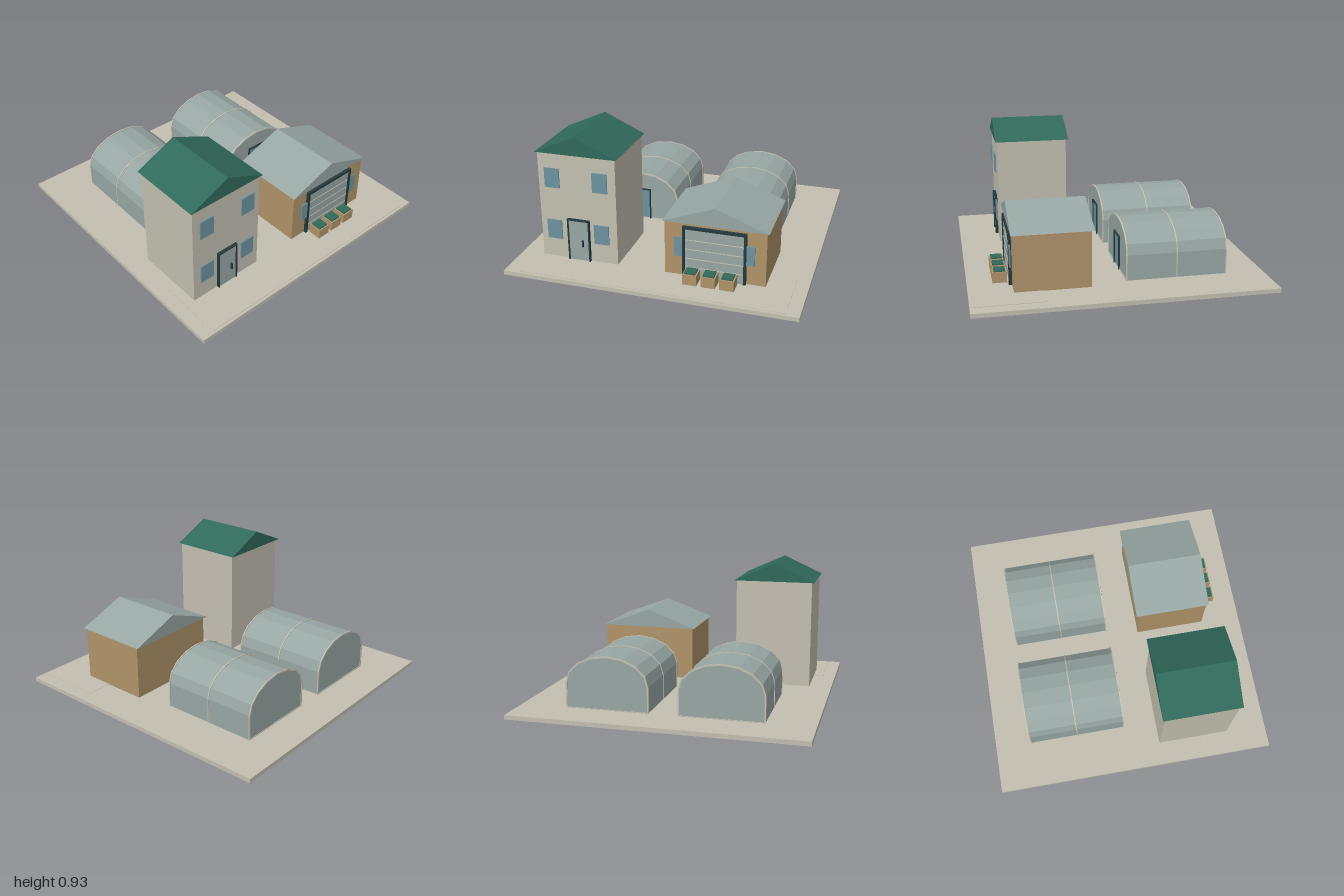
import * as THREE from 'three';

const mat = (name, color) => {
  const m = new THREE.MeshStandardMaterial({ color });
  m.name = name;
  return m;
};

export function createModel() {
  const cream = mat('cream', 0xc3bfb1);
  const tan = mat('tan', 0xb0946a);
  const green = mat('roofGreen', 0x30695a);
  const grey = mat('greyGreen', 0x98a7a4);
  const blue = mat('windowBlue', 0x6d949f);
  const dark = mat('darkTrim', 0x24393c);

  const model = new THREE.Group();
  model.name = 'farmYard';
  const group = (name) => {
    const g = new THREE.Group();
    g.name = name;
    model.add(g);
    return g;
  };
  const add = (parent, name, geometry, material) => {
    const mesh = new THREE.Mesh(geometry, material);
    mesh.name = name;
    parent.add(mesh);
    return mesh;
  };
  // Box given by its limits on each axis
  const box = (parent, name, material, [x0, x1], [y0, y1], [z0, z1]) => {
    const mesh = add(parent, name, new THREE.BoxGeometry(x1 - x0, y1 - y0, z1 - z0), material);
    mesh.position.set((x0 + x1) / 2, (y0 + y1) / 2, (z0 + z1) / 2);
    return mesh;
  };
  // Outline in x and y pushed along z
  const prism = (parent, name, material, shape, z0, z1) => {
    const geometry = new THREE.ExtrudeGeometry(shape, { depth: z1 - z0, bevelEnabled: false });
    const mesh = add(parent, name, geometry, material);
    mesh.position.z = z0;
    return mesh;
  };
  const shapeOf = (points) => new THREE.Shape(points.map(([x, y]) => new THREE.Vector2(x, y)));

  // Ground and the barely raised front yard
  const ground = group('ground');
  box(ground, 'groundSlab', cream, [-1, 1], [0, 0.03], [-1, 1]);
  box(ground, 'frontYard', cream, [-0.91, 0.91], [0.03, 0.033], [0.51, 0.98]);

  // Walls with a gabled roof
  const building = (parent, cx, half, top, wallMaterial, roofMaterial) => {
    box(parent, 'walls', wallMaterial, [cx - half, cx + half], [0.03, top], [0.2, 0.708]);
    const e = half + 0.015;
    prism(parent, 'roof', roofMaterial,
      shapeOf([[cx - e, top], [cx + e, top], [cx, top + 0.132]]), 0.18, 0.722);
  };
  // Door panel inside a three-sided trim
  const framedDoor = (parent, [x0, x1], top, t, panelMaterial, z) => {
    box(parent, 'doorPanel', panelMaterial, [x0 + t, x1 - t], [0.03, top - t], [z, z + 0.015]);
    box(parent, 'leftJamb', dark, [x1 - t, x1], [0.03, top], [z, z + 0.023]);
    box(parent, 'rightJamb', dark, [x0, x0 + t], [0.03, top], [z, z + 0.023]);
    box(parent, 'lintel', dark, [x0 + t, x1 - t], [top - t, top], [z, z + 0.023]);
  };

  // Tall house
  const house = group('house');
  building(house, -0.565, 0.275, 0.798, cream, green);
  for (const x of [-0.79, -0.45])
    for (const y of [0.178, 0.556])
      box(house, 'window', blue, [x, x + 0.106], [y, y + 0.139], [0.718, 0.726]);
  framedDoor(house, [-0.644, -0.485], 0.337, 0.009, grey, 0.706);
  box(house, 'doorHandle', dark, [-0.539, -0.531], [0.14, 0.19], [0.718, 0.736]);

  // Wide shed with a shutter door
  const shed = group('shed');
  building(shed, 0.387, 0.342, 0.418, tan, grey);
  framedDoor(shed, [0.17, 0.6], 0.398, 0.018, grey, 0.706);
  for (const y of [0.1, 0.165, 0.232, 0.3])
    box(shed, 'shutterLine', cream, [0.19, 0.58], [y, y + 0.005], [0.718, 0.724]);
  for (const x of [0.115, 0.598])
    box(shed, 'window', blue, [x, x + 0.057], [0.178, 0.316], [0.718, 0.726]);

  // Planted crates in front of the shed
  const crates = group('crates');
  for (const x of [0.2, 0.325, 0.45]) {
    box(crates, 'crate', tan, [x, x + 0.096], [0.03, 0.106], [0.735, 0.831]);
    box(crates, 'plants', green, [x + 0.01, x + 0.086], [0.106, 0.116], [0.745, 0.821]);
  }

  // Greenhouse cross-section: upright sides below an eight-sided arch
  const archPoints = (grow) => {
    const points = [[-0.285 - grow, 0.03], [0.285 + grow, 0.03]];
    for (let i = 0; i <= 8; i++) {
      const a = (i * Math.PI) / 8;
      points.push([(0.285 + grow) * Math.cos(a), 0.205 + (0.188 + grow) * Math.sin(a)]);
    }
    return points;
  };
  for (const cx of [-0.39, 0.386]) {
    const greenhouse = group('greenhouse');
    greenhouse.position.x = cx;
    prism(greenhouse, 'cover', grey, shapeOf(archPoints(0)), -0.734, -0.046);
    // Thin hoops at both ends and the middle
    const hoop = shapeOf(archPoints(0.005));
    hoop.holes.push(new THREE.Path(
      archPoints(-0.006).map(([x, y]) => new THREE.Vector2(x, y + (y < 0.04 ? 0.006 : 0)))));
    for (const z of [-0.738, -0.394, -0.05]) prism(greenhouse, 'hoop', cream, hoop, z, z + 0.008);
    framedDoor(greenhouse, [-0.075, 0.075], 0.27, 0.008, blue, -0.058);
  }

  return model;
}
